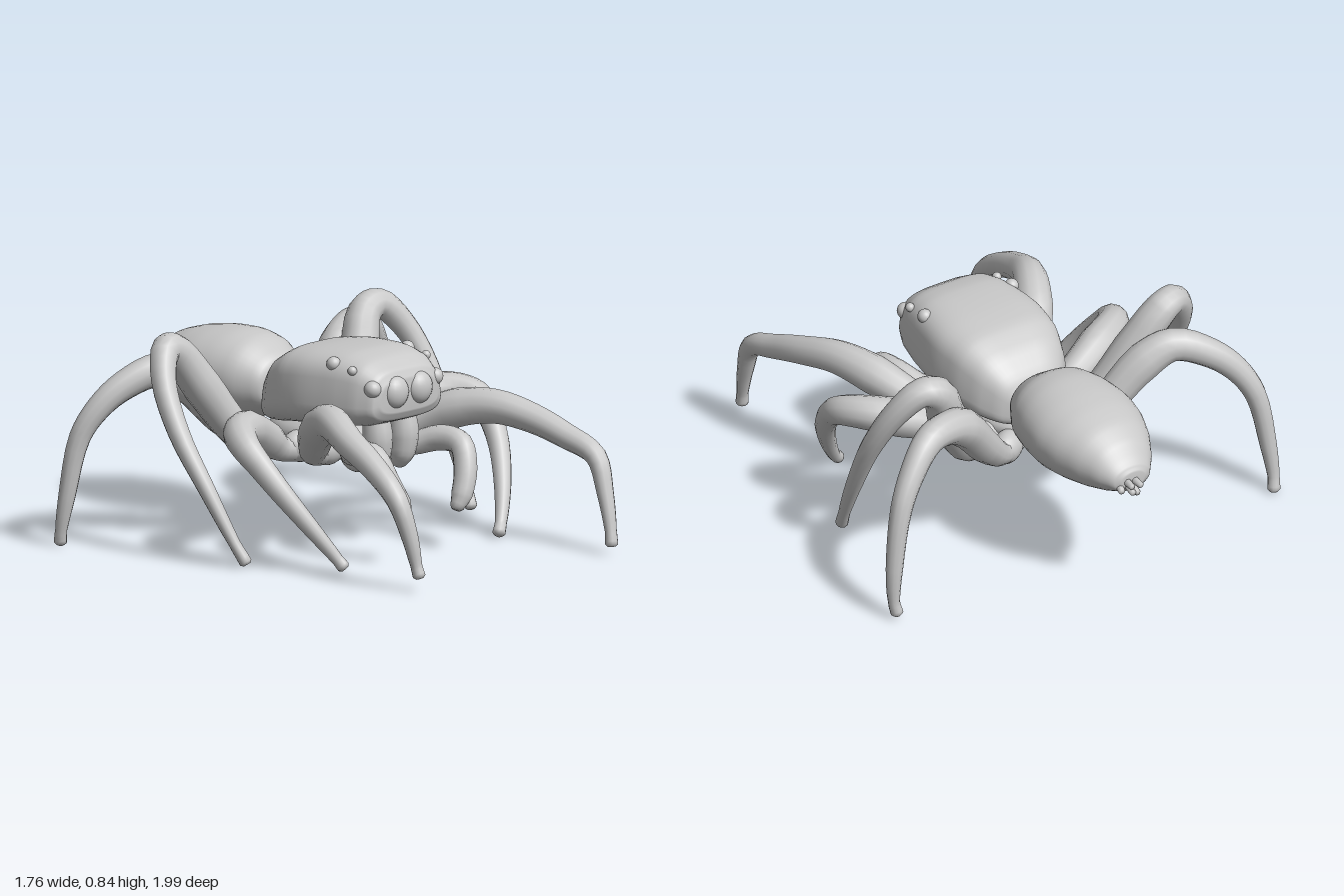
import * as THREE from 'three';

const V = (x, y, z) => new THREE.Vector3(x, y, z);

// Closed smooth skin over a list of equal-sized rings, capped at both ends
function skin(rings) {
  const n = rings[0].length, pos = [], idx = [];
  rings.forEach(r => r.forEach(p => pos.push(p.x, p.y, p.z)));
  const centre = r => r.reduce((s, p) => s.add(p), V(0, 0, 0)).divideScalar(n);
  const last = rings.length - 1, c0 = rings.length * n, c1 = c0 + 1;
  [rings[0], rings[last]].forEach(r => pos.push(...centre(r).toArray()));
  for (let j = 0; j < n; j++) {
    const k = (j + 1) % n;
    for (let i = 0; i < last; i++) {
      const a = i * n + j, b = i * n + k;
      idx.push(a, a + n, b, b, a + n, b + n);
    }
    idx.push(c0, j, k, c1, last * n + k, last * n + j);
  }
  const g = new THREE.BufferGeometry();
  g.setAttribute('position', new THREE.Float32BufferAttribute(pos, 3));
  g.setIndex(idx);
  g.computeVertexNormals();
  return g;
}

// Limb through points [x, y, z, radius], with rounded ends
function limb(pts, steps = 4, sides = 12) {
  const curve = new THREE.CatmullRomCurve3(pts.map(p => V(p[0], p[1], p[2])), false, 'centripetal');
  const total = (pts.length - 1) * steps, rings = [];
  const N = V(0.3, 0.2, 1);
  const addRing = (t, scale, push) => {
    const c = curve.getPoint(t), T = curve.getTangent(t);
    N.addScaledVector(T, -N.dot(T)).normalize();
    const B = T.clone().cross(N);
    const f = t * (pts.length - 1), i = Math.min(Math.floor(f), pts.length - 2);
    const r = THREE.MathUtils.lerp(pts[i][3], pts[i + 1][3], f - i);
    c.addScaledVector(T, push * r);
    rings.push(Array.from({ length: sides }, (_, j) => {
      const a = j / sides * Math.PI * 2;
      return c.clone().addScaledVector(N, Math.cos(a) * r * scale).addScaledVector(B, -Math.sin(a) * r * scale);
    }));
  };
  addRing(0, 0.6, -0.4);
  for (let s = 0; s <= total; s++) addRing(s / total, 1, 0);
  addRing(1, 0.6, 0.4);
  return skin(rings);
}

// Body loft from sections [z, halfWidth, bottom, top], front to back
function loft(sections, power, taper, sides = 40) {
  const curve = new THREE.CatmullRomCurve3(sections.map(s => V(s[1], s[2], s[3])));
  const m = (sections.length - 1) * 4, rings = [];
  for (let k = 0; k <= m; k++) {
    const f = k / 4, i = Math.min(Math.floor(f), sections.length - 2);
    const z = THREE.MathUtils.lerp(sections[i][0], sections[i + 1][0], f - i);
    const p = curve.getPoint(k / m), mid = (p.y + p.z) / 2, h = (p.z - p.y) / 2;
    const e = v => Math.sign(v) * Math.pow(Math.abs(v), 2 / power);
    rings.push(Array.from({ length: sides }, (_, j) => {
      const a = j / sides * Math.PI * 2, u = e(Math.sin(a));
      return V(e(Math.cos(a)) * p.x * (1 - taper * (u + 1) / 2), mid + u * h, z);
    }));
  }
  return skin(rings);
}

export function createModel() {
  const group = new THREE.Group();
  const grey = new THREE.MeshStandardMaterial({ color: 0xc8c8c8 });
  grey.name = 'grey';
  const add = (name, geo) => {
    const m = new THREE.Mesh(geo, grey);
    m.name = name;
    group.add(m);
    return m;
  };
  const ball = (name, x, y, z, rx, ry = rx, rz = rx) => {
    const m = add(name, new THREE.SphereGeometry(1, 20, 14));
    m.position.set(x, y, z);
    m.scale.set(rx, ry, rz);
    return m;
  };

  // Head and thorax
  add('cephalothorax', loft([
    [0.39, 0.16, 0.56, 0.68], [0.37, 0.2, 0.525, 0.72], [0.3, 0.235, 0.5, 0.762],
    [0.2, 0.258, 0.485, 0.78], [0.05, 0.276, 0.475, 0.775], [-0.08, 0.262, 0.46, 0.757],
    [-0.18, 0.222, 0.445, 0.705], [-0.25, 0.165, 0.44, 0.635], [-0.295, 0.09, 0.45, 0.55],
  ], 3.5, 0.16));
  ball('sternum', 0, 0.41, -0.05, 0.17, 0.085, 0.27);
  add('waist', limb([[0, 0.47, -0.2, 0.07], [0, 0.5, -0.38, 0.07]]));

  // Abdomen and spinnerets
  add('abdomen', loft([
    [-0.27, 0.06, 0.5, 0.6], [-0.3, 0.13, 0.45, 0.66], [-0.4, 0.19, 0.41, 0.725],
    [-0.5, 0.215, 0.405, 0.74], [-0.6, 0.226, 0.405, 0.735], [-0.7, 0.212, 0.412, 0.72],
    [-0.8, 0.175, 0.425, 0.69], [-0.88, 0.13, 0.445, 0.64], [-0.935, 0.085, 0.468, 0.575],
    [-0.95, 0.05, 0.485, 0.55],
  ], 2.1, 0));
  for (const [x, y, z] of [[-0.01, 0.51, -0.985], [0.03, 0.515, -0.985], [0.005, 0.48, -0.985],
    [0.025, 0.485, -0.985], [0.06, 0.49, -0.96]])
    add('spinneret', limb([[x * 0.7, 0.515, -0.89, 0.022], [x, y, z, 0.013]], 4, 8));

  // Paired face parts
  for (const s of [1, -1]) {
    ball('mainEye', s * 0.064, 0.636, 0.375, 0.06, 0.063, 0.045);
    ball('sideEye', s * 0.167, 0.66, 0.358, 0.033);
    ball('smallEye', s * 0.198, 0.725, 0.28, 0.018);
    ball('rearEye', s * 0.198, 0.737, 0.18, 0.028);
    add('jaw', limb([[s * 0.068, 0.56, 0.27, 0.05], [s * 0.07, 0.45, 0.29, 0.058],
      [s * 0.066, 0.37, 0.285, 0.05], [s * 0.06, 0.325, 0.27, 0.03]]));
    ball('mouthPlate', s * 0.05, 0.355, 0.16, 0.05, 0.065, 0.08);
  }

  // Pedipalps
  add('leftPalp', limb([[0.08, 0.38, 0.18, 0.045], [0.16, 0.38, 0.24, 0.045], [0.215, 0.41, 0.34, 0.05],
    [0.225, 0.4, 0.44, 0.046], [0.205, 0.31, 0.485, 0.046], [0.17, 0.22, 0.5, 0.042], [0.143, 0.175, 0.5, 0.027]]));
  add('rightPalp', limb([[-0.08, 0.38, 0.18, 0.045], [-0.16, 0.39, 0.24, 0.045], [-0.225, 0.42, 0.34, 0.05],
    [-0.235, 0.42, 0.44, 0.046], [-0.22, 0.33, 0.495, 0.047], [-0.185, 0.245, 0.525, 0.043], [-0.163, 0.21, 0.53, 0.027]]));

  // Legs, posed individually: hip to foot
  const radii = [0.05, 0.048, 0.066, 0.076, 0.066, 0.057, 0.049, 0.042, 0.033, 0.023, 0.025];
  const legs = {
    leftLeg1: [[0.06, 0.38, 0.08], [0.22, 0.38, 0.1], [0.29, 0.43, 0.14], [0.37, 0.49, 0.27], [0.43, 0.51, 0.42],
      [0.48, 0.48, 0.57], [0.51, 0.43, 0.72], [0.53, 0.37, 0.86], [0.52, 0.24, 0.92], [0.505, 0.1, 0.965], [0.5, 0.05, 0.975]],
    rightLeg1: [[-0.06, 0.38, 0.08], [-0.22, 0.38, 0.1], [-0.28, 0.44, 0.16], [-0.36, 0.53, 0.27], [-0.43, 0.58, 0.4],
      [-0.48, 0.53, 0.55], [-0.5, 0.46, 0.7], [-0.51, 0.36, 0.83], [-0.49, 0.22, 0.88], [-0.475, 0.11, 0.9], [-0.47, 0.07, 0.91]],
    leftLeg2: [[0.06, 0.37, -0.03], [0.22, 0.37, -0.07], [0.3, 0.42, -0.07], [0.45, 0.48, -0.03], [0.56, 0.5, 0.05],
      [0.61, 0.48, 0.14], [0.6, 0.42, 0.22], [0.57, 0.32, 0.3], [0.5, 0.18, 0.39], [0.43, 0.06, 0.45], [0.4, 0.03, 0.47]],
    rightLeg2: [[-0.06, 0.37, -0.03], [-0.22, 0.37, -0.07], [-0.3, 0.42, -0.07], [-0.46, 0.49, -0.02], [-0.57, 0.5, 0.05],
      [-0.62, 0.47, 0.13], [-0.615, 0.41, 0.2], [-0.585, 0.31, 0.29], [-0.52, 0.18, 0.38], [-0.45, 0.06, 0.45], [-0.435, 0.03, 0.47]],
    leftLeg3: [[0.07, 0.36, -0.14], [0.22, 0.36, -0.2], [0.3, 0.42, -0.24], [0.41, 0.6, -0.29], [0.48, 0.75, -0.33],
      [0.55, 0.775, -0.325], [0.635, 0.69, -0.28], [0.69, 0.53, -0.2], [0.69, 0.3, -0.08], [0.665, 0.1, 0.03], [0.65, 0.03, 0.07]],
    rightLeg3: [[-0.07, 0.36, -0.14], [-0.22, 0.36, -0.2], [-0.3, 0.42, -0.23], [-0.44, 0.61, -0.28], [-0.55, 0.76, -0.31],
      [-0.61, 0.785, -0.305], [-0.68, 0.68, -0.25], [-0.71, 0.5, -0.14], [-0.7, 0.3, 0], [-0.66, 0.1, 0.11], [-0.64, 0.03, 0.15]],
    leftLeg4: [[0.07, 0.36, -0.24], [0.18, 0.37, -0.31], [0.28, 0.46, -0.35], [0.42, 0.62, -0.41], [0.52, 0.67, -0.45],
      [0.63, 0.67, -0.49], [0.73, 0.58, -0.53], [0.8, 0.46, -0.56], [0.845, 0.22, -0.58], [0.85, 0.08, -0.585], [0.84, 0.03, -0.59]],
    rightLeg4: [[-0.07, 0.36, -0.24], [-0.18, 0.37, -0.31], [-0.28, 0.46, -0.345], [-0.42, 0.61, -0.385], [-0.53, 0.67, -0.425],
      [-0.66, 0.62, -0.485], [-0.75, 0.54, -0.53], [-0.81, 0.43, -0.57], [-0.85, 0.2, -0.6], [-0.86, 0.07, -0.62], [-0.855, 0.02, -0.63]],
  };
  for (const [name, pts] of Object.entries(legs)) {
    add(name, limb(pts.map((p, i) => [...p, radii[i]])));
    // Bulging hip joint under the thorax
    const [a, b] = pts;
    ball('hip', (a[0] + b[0]) / 2, a[1] + 0.005, (a[2] + b[2]) / 2, 0.085, 0.064, 0.056).rotation.y =
      -Math.atan((b[2] - a[2]) / (b[0] - a[0]));
  }

  return group;
}
